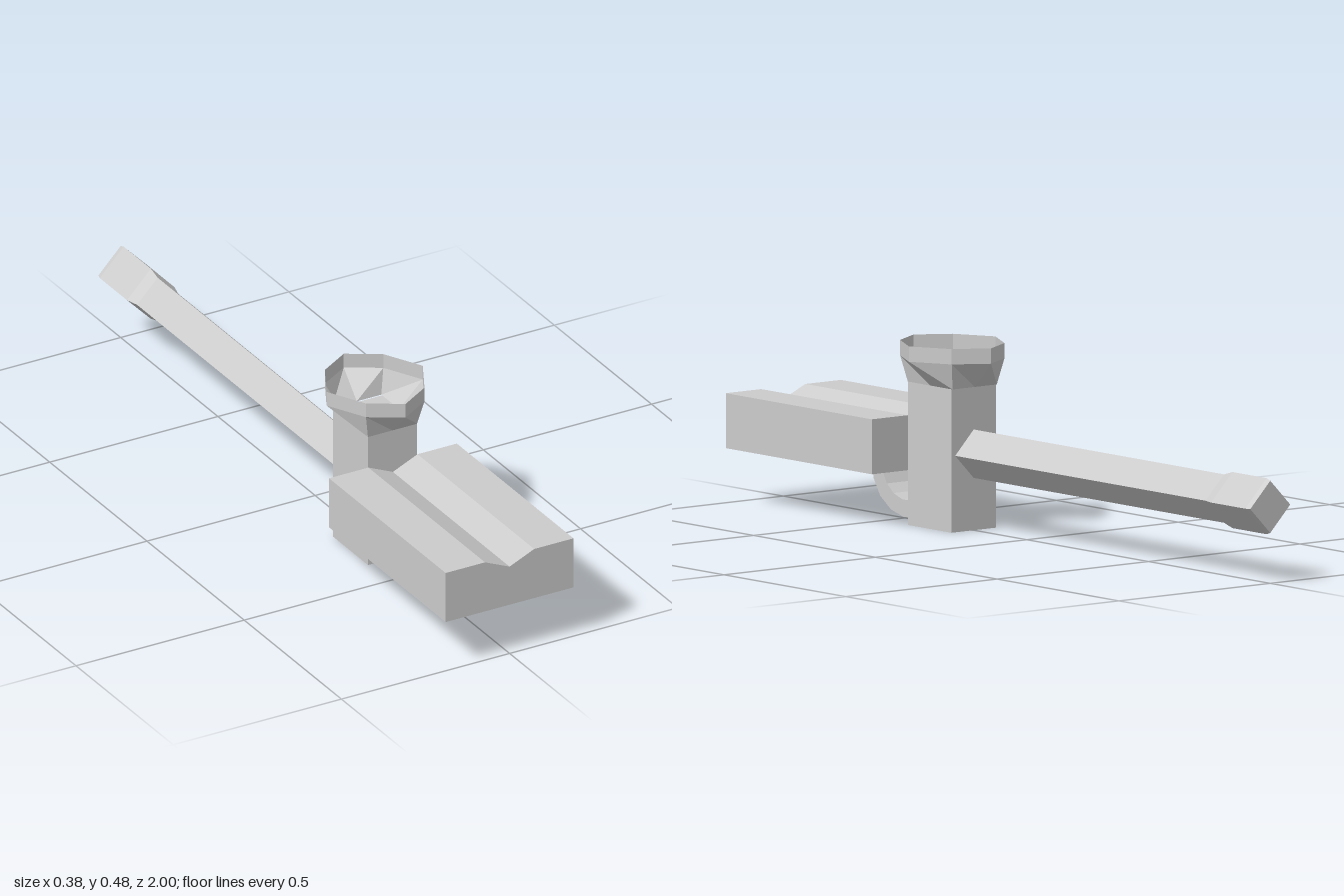
import * as THREE from 'three';

const grey = new THREE.MeshStandardMaterial({ color: 0xcccccc, flatShading: true, side: THREE.DoubleSide });

function part(name, geometry, y = 0, z = 0) {
  const mesh = new THREE.Mesh(geometry, grey);
  mesh.name = name;
  mesh.position.set(0, y, z);
  return mesh;
}

const extrude = (points, depth) => new THREE.ExtrudeGeometry(
  new THREE.Shape(points.map(([x, y]) => new THREE.Vector2(x, y))), { depth, bevelEnabled: false });

// Joins closed cross-sections of equal length with flat quads
function loft(rings) {
  const position = [], n = rings[0].length;
  for (let r = 0; r < rings.length - 1; r++) {
    for (let i = 0; i < n; i++) {
      const j = (i + 1) % n;
      const a = rings[r][i], b = rings[r][j], c = rings[r + 1][j], d = rings[r + 1][i];
      position.push(...a, ...d, ...b, ...b, ...d, ...c);
    }
  }
  const geometry = new THREE.BufferGeometry();
  geometry.setAttribute('position', new THREE.Float32BufferAttribute(position, 3));
  geometry.computeVertexNormals();
  return geometry;
}

// Eight points: side middles and corners, alternating
const octagon = (y, midX, midZ, cornerX, cornerZ) => [
  [0, y, midZ], [cornerX, y, cornerZ], [midX, y, 0], [cornerX, y, -cornerZ],
  [0, y, -midZ], [-cornerX, y, -cornerZ], [-midX, y, 0], [-cornerX, y, cornerZ],
];

export function createModel() {
  const model = new THREE.Group();
  model.name = 'launcher';

  // Broad stock with a V groove along its top
  model.add(part('stock', extrude([
    [-0.19, 0.142], [0.19, 0.142], [0.19, 0.285], [0.073, 0.285],
    [0, 0.253], [-0.073, 0.285], [-0.19, 0.285],
  ], 0.6), 0, 0.4));

  // Upright body
  model.add(part('body', new THREE.BoxGeometry(0.146, 0.373, 0.18), 0.1865, 0.308));

  // Open hopper flaring from the square body to an eight-sided rim
  model.add(part('hopper', loft([
    octagon(0.373, 0.073, 0.092, 0.073, 0.092),
    octagon(0.441, 0.143, 0.159, 0.087, 0.106),
    octagon(0.481, 0.143, 0.159, 0.087, 0.106),
  ]), 0, 0.306));

  // Four-sided barrel with a thicker muzzle
  const barrel = new THREE.LatheGeometry([
    [0, -1], [0.068, -1], [0.073, -0.985], [0.073, -0.845], [0.063, -0.81], [0.063, 0.23], [0, 0.23],
  ].map(([r, z]) => new THREE.Vector2(r, z)), 4);
  barrel.rotateX(Math.PI / 2).scale(0.97, 1, 1);
  model.add(part('barrel', barrel, 0.199));

  // Curved trigger guard, drawn in the side plane
  const guard = extrude([
    [0.58, 0.145], [0.572, 0.1], [0.545, 0.057], [0.5, 0.026], [0.45, 0.013], [0.395, 0.013],
    [0.395, 0.058], [0.455, 0.058], [0.49, 0.07], [0.517, 0.092], [0.533, 0.12], [0.535, 0.145],
  ], 0.092);
  guard.translate(0, 0, -0.046).rotateY(-Math.PI / 2);
  model.add(part('triggerGuard', guard));

  return model;
}
